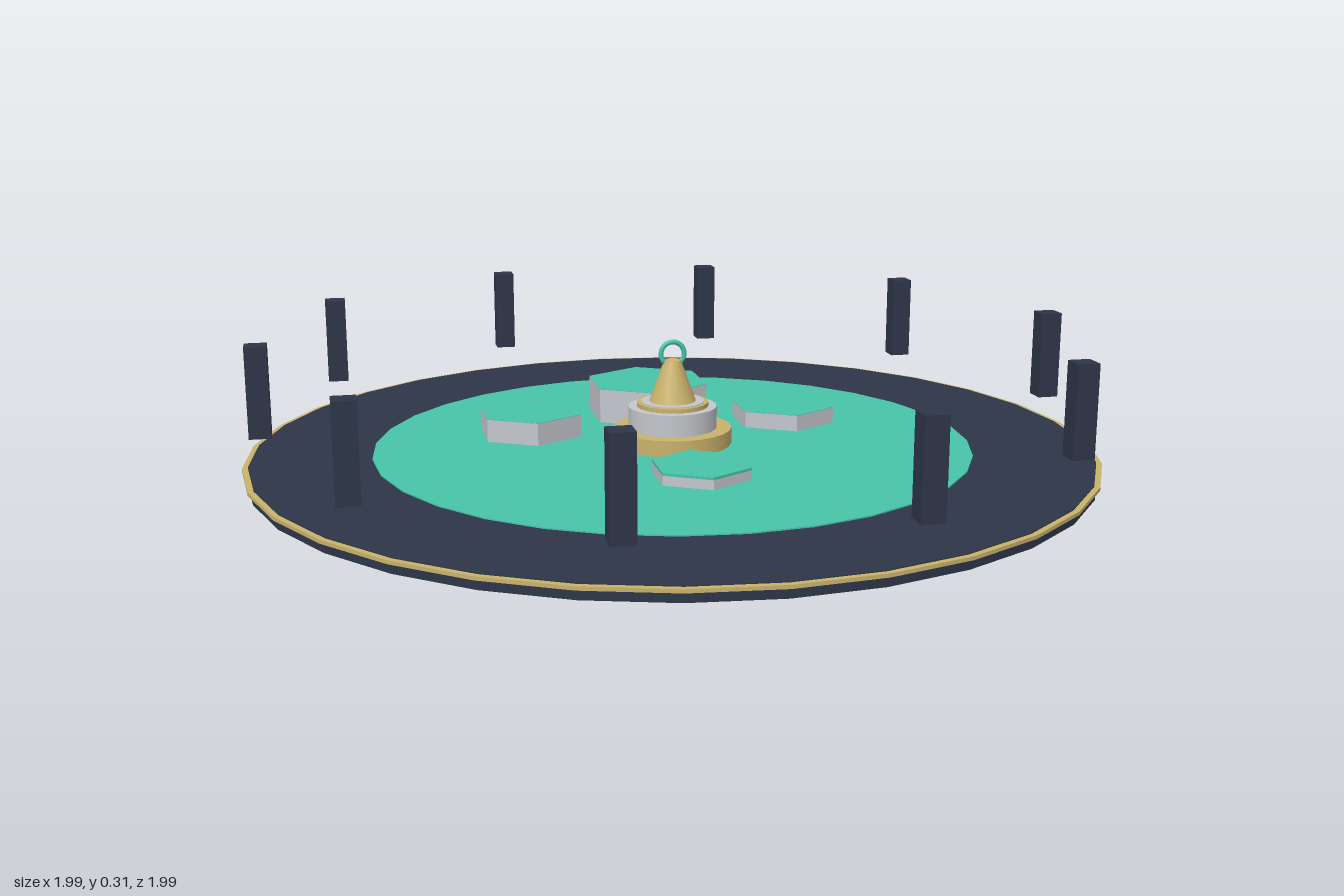
import * as THREE from 'three';

const material = (name, color) => {
  const m = new THREE.MeshStandardMaterial({ color });
  m.name = name;
  return m;
};

export function createModel() {
  const navy = material('navy', 0x2d3548);
  const gold = material('gold', 0xc9b26b);
  const teal = material('teal', 0x48c4aa);
  const stone = material('pale stone', 0xc3c6cb);

  const model = new THREE.Group();
  model.name = 'arenaPlatform';

  const add = (name, geometry, mat, x = 0, y = 0, z = 0, parent = model) => {
    const mesh = new THREE.Mesh(geometry, mat);
    mesh.name = name;
    mesh.position.set(x, y, z);
    parent.add(mesh);
    return mesh;
  };

  // Cylinder or cone standing between two heights
  const drum = (name, rTop, rBottom, y0, y1, sides, mat, parent = model) =>
    add(name, new THREE.CylinderGeometry(rTop, rBottom, y1 - y0, sides), mat, 0, (y0 + y1) / 2, 0, parent);

  // Layered floor: navy base, gold rim, navy walkway, teal field
  drum('base', 0.985, 0.985, 0, 0.024, 32, navy);
  drum('goldRim', 0.995, 0.995, 0.022, 0.03, 32, gold);
  drum('walkway', 0.982, 0.982, 0.026, 0.032, 32, navy);
  drum('field', 0.705, 0.705, 0.028, 0.035, 32, teal);

  // Hexagonal platforms: x, z, radius, top height, thickness of the teal lid
  const platforms = [
    [-0.318, -0.16, 0.13, 0.09, 0.001],
    [0.318, -0.16, 0.13, 0.075, 0.001],
    [0, -0.3, 0.157, 0.12, 0.001],
    [0, 0.295, 0.115, 0.063, 0.006],
  ];
  const hexagon = (r, h) => {
    const g = new THREE.CylinderGeometry(r, r, h, 6).toNonIndexed();
    g.computeVertexNormals();
    return g;
  };
  for (const [x, z, r, top, lid] of platforms) {
    const platform = new THREE.Group();
    platform.name = 'hexPlatform';
    platform.position.set(x, 0, z);
    model.add(platform);
    const h = top - lid - 0.03;
    add('platformBody', hexagon(r, h), stone, 0, 0.03 + h / 2, 0, platform);
    add('platformLid', hexagon(r, lid), teal, 0, top - lid / 2, 0, platform);
  }

  // Central monument: stepped plinth, cone and upright ring
  const monument = new THREE.Group();
  monument.name = 'monument';
  model.add(monument);
  drum('plinth', 0.14, 0.14, 0.03, 0.073, 24, gold, monument);
  drum('drum', 0.105, 0.105, 0.073, 0.125, 24, stone, monument);
  drum('collar', 0.085, 0.085, 0.125, 0.135, 24, gold, monument);
  drum('step', 0.075, 0.075, 0.135, 0.137, 24, stone, monument);
  drum('cone', 0.02, 0.056, 0.136, 0.235, 16, gold, monument);
  add('ring', new THREE.TorusGeometry(0.028, 0.006, 8, 24), teal, 0, 0.25, 0, monument);

  // Ten floating pillars round the edge
  const pillar = new THREE.BoxGeometry(0.05, 0.21, 0.05);
  for (let i = 0; i < 10; i++) {
    const a = (i / 10) * Math.PI * 2;
    add('pillar', pillar, navy, 0.95 * Math.cos(a), 0.207, 0.95 * Math.sin(a));
  }

  return model;
}
